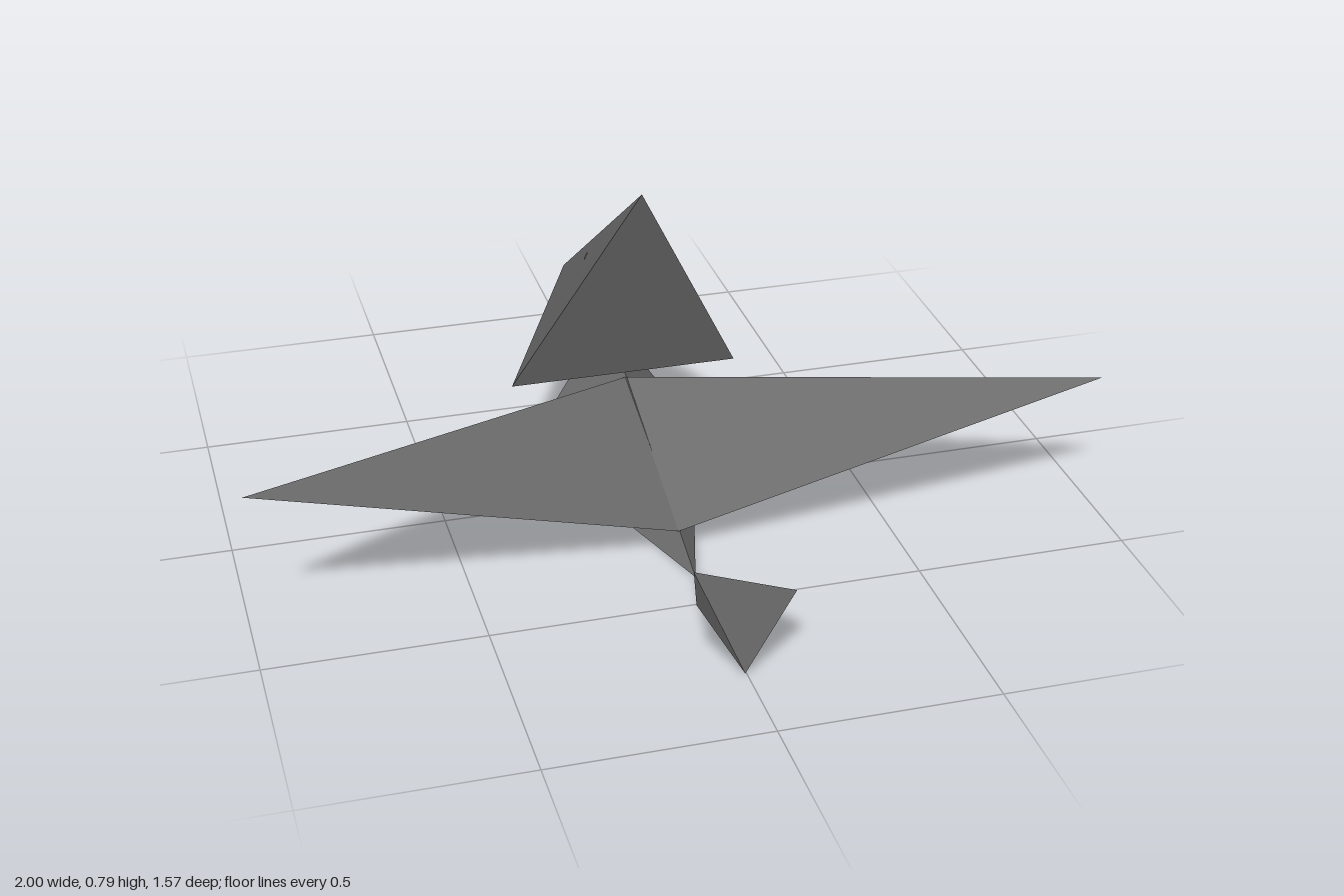
import * as THREE from 'three';
import { ConvexGeometry } from 'three/addons/geometries/ConvexGeometry.js';

const grey = 0x6c6c6c;
const material = new THREE.MeshStandardMaterial({ color: grey, flatShading: true });
const sheet = new THREE.MeshStandardMaterial({ color: grey, flatShading: true, side: THREE.DoubleSide });
const vec = (p) => new THREE.Vector3(...p);

// Closed faceted solid spanning a few corners
function solid(name, corners) {
  const mesh = new THREE.Mesh(new ConvexGeometry(corners.map(vec)), material);
  mesh.name = name;
  return mesh;
}

// Single folded-paper triangle
function flap(name, a, b, c) {
  const geometry = new THREE.BufferGeometry().setFromPoints([a, b, c].map(vec));
  geometry.computeVertexNormals();
  const mesh = new THREE.Mesh(geometry, sheet);
  mesh.name = name;
  return mesh;
}

export function createModel() {
  const bird = new THREE.Group();
  bird.name = 'paperBird';

  // Body: tetrahedron tapering to the tail joint, its peak hidden in the head
  bird.add(solid('body', [[0, 0.002, 0.395], [-0.23, 0, -0.3], [0.193, 0, -0.3], [-0.02, 0.31, -0.338]]));

  // Head: tetrahedron with the beak pointing backwards
  const crown = [-0.02, 0.785, 0.005];
  const beak = [-0.02, 0.247, -0.785];
  bird.add(solid('head', [crown, beak, [-0.297, 0.247, -0.16], [0.255, 0.247, -0.16]]));

  // Wings: thin triangles rooted along the ridge of the body
  const rootHigh = [-0.017, 0.233, -0.162];
  const rootLow = [-0.006, 0.054, 0.275];
  bird.add(flap('leftWing', rootHigh, rootLow, [0.995, 0.345, 0.335]));
  bird.add(flap('rightWing', rootHigh, [-1, 0.378, 0.413], rootLow));

  // Tail: two triangles folded into a V, tucked into the tip of the body
  const joint = [0, 0.006, 0.38];
  const fold = [-0.003, 0, 0.785];
  bird.add(flap('leftTail', joint, fold, [0.108, 0.192, 0.785]));
  bird.add(flap('rightTail', joint, [-0.113, 0.192, 0.785], fold));

  // Eyes: fine closed-lid arcs set into both cheeks
  for (const side of [1, -1]) {
    const arc = [[0.043, 0.482, -0.336], [0.047, 0.467, -0.355], [0.036, 0.472, -0.375]]
      .map(([x, y, z]) => new THREE.Vector3(-0.02 + side * x, y, z));
    const eye = new THREE.Mesh(new THREE.TubeGeometry(new THREE.CatmullRomCurve3(arc), 8, 0.002, 4), material);
    eye.name = side > 0 ? 'leftEye' : 'rightEye';
    bird.add(eye);
  }
  return bird;
}
